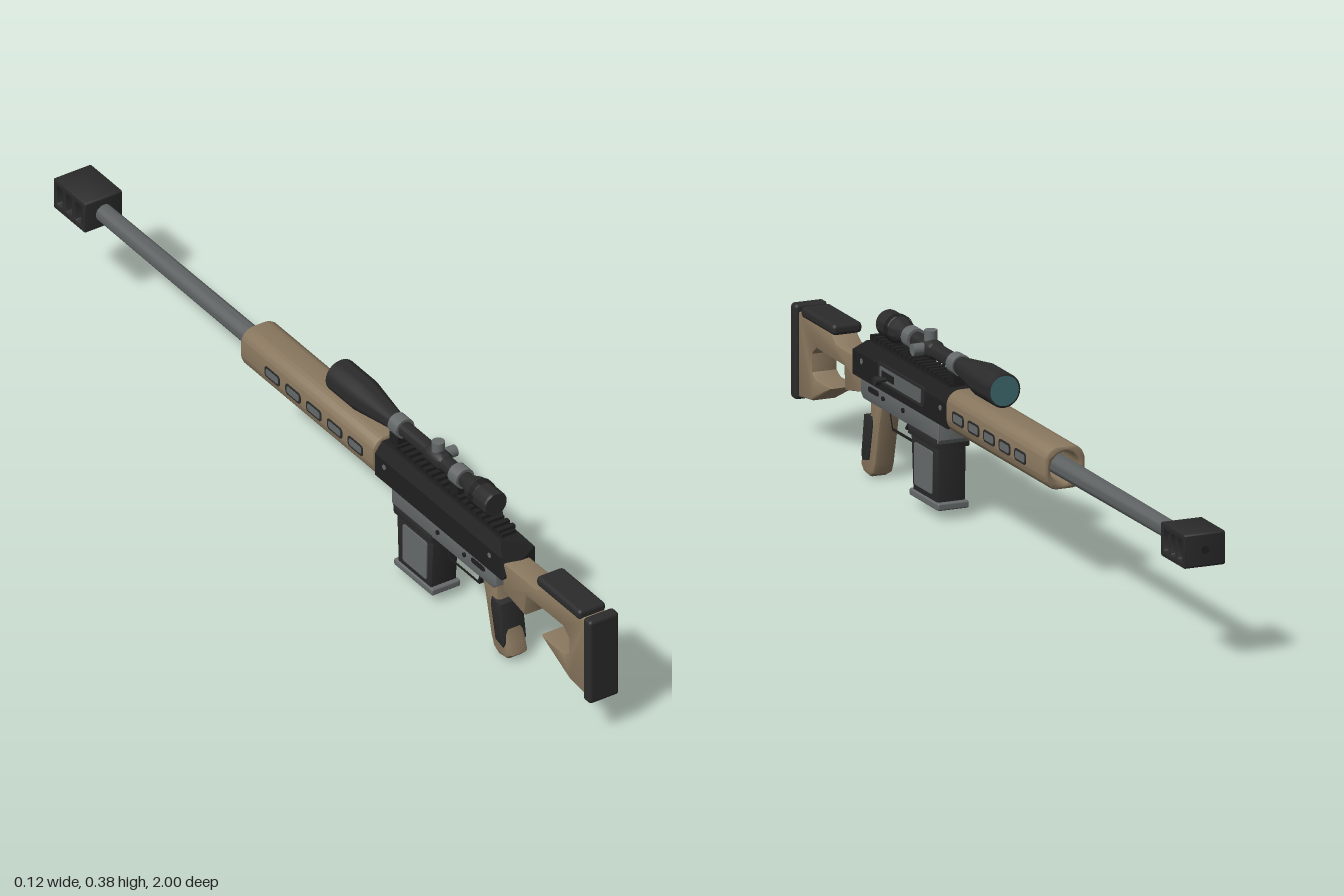
import * as THREE from 'three';
import { toCreasedNormals } from 'three/addons/utils/BufferGeometryUtils.js';
import { RoundedBoxGeometry } from 'three/addons/geometries/RoundedBoxGeometry.js';

const mat = (name, color) => {
  const m = new THREE.MeshStandardMaterial({ color });
  m.name = name;
  return m;
};

export function createModel() {
  const tan = mat('tan', 0x8a785f), black = mat('black', 0x1f1f20), rubber = mat('rubber', 0x2b2b2c);
  const grey = mat('grey', 0x666a6a), steel = mat('steel', 0x5e6262), lens = mat('lens', 0x3f6b70);

  const group = new THREE.Group();
  group.name = 'rifle';
  const model = new THREE.Group();
  model.name = 'body';
  model.position.x = -0.0125;
  group.add(model);

  const add = (name, geo, material, x = 0, y = 0, z = 0) => {
    const m = new THREE.Mesh(geo, material);
    m.name = name;
    m.position.set(x, y, z);
    model.add(m);
    return m;
  };
  const box = (name, material, w, h, d, x, y, z, r = 0) =>
    add(name, r ? new RoundedBoxGeometry(w, h, d, 2, r) : new THREE.BoxGeometry(w, h, d), material, x, y, z);
  const outline = (pts, Type = THREE.Shape) => new Type(pts.map(p => new THREE.Vector2(...p)));

  // Side profile in (z, y), extruded across x and centred at x
  const side = (name, material, shape, width, bevel = 0, x = 0) => {
    const geo = new THREE.ExtrudeGeometry(shape, {
      depth: width - 2 * bevel, curveSegments: 8, bevelEnabled: bevel > 0,
      bevelSize: bevel, bevelThickness: bevel, bevelOffset: -bevel, bevelSegments: 2,
    });
    geo.translate(0, 0, bevel - width / 2).rotateY(-Math.PI / 2);
    return add(name, toCreasedNormals(geo, 0.6), material, x);
  };
  // Turned part along z, profile [radius, z] with z rising
  const turned = (name, material, pts, y) => {
    const geo = new THREE.LatheGeometry(pts.map(p => new THREE.Vector2(...p)), 28).rotateX(Math.PI / 2);
    return add(name, toCreasedNormals(geo, 0.6), material, 0, y, 0);
  };
  // Rod along x
  const rodX = (name, material, r, len, x, y, z) =>
    add(name, new THREE.CylinderGeometry(r, r, len, 16).rotateZ(Math.PI / 2), material, x, y, z);
  const roundRect = (cx, cy, w, h, r, Type = THREE.Shape) => {
    const s = new Type(), x0 = cx - w / 2, x1 = cx + w / 2, y0 = cy - h / 2, y1 = cy + h / 2;
    s.moveTo(x0 + r, y0).lineTo(x1 - r, y0).absarc(x1 - r, y0 + r, r, -Math.PI / 2, 0);
    s.lineTo(x1, y1 - r).absarc(x1 - r, y1 - r, r, 0, Math.PI / 2);
    s.lineTo(x0 + r, y1).absarc(x0 + r, y1 - r, r, Math.PI / 2, Math.PI);
    s.lineTo(x0, y0 + r).absarc(x0 + r, y0 + r, r, Math.PI, Math.PI * 1.5);
    return s;
  };

  // Stock with open thumb area, cheek rest and butt pad
  side('stock', tan, outline([
    [0.975, 0.275], [0.82, 0.275], [0.785, 0.252], [0.66, 0.25], [0.66, 0.18], [0.742, 0.163],
    [0.748, 0.215], [0.885, 0.217], [0.908, 0.2], [0.908, 0.16], [0.89, 0.15], [0.805, 0.15],
    [0.91, 0.098], [0.975, 0.09],
  ]), 0.06, 0.005);
  box('cheekRest', rubber, 0.068, 0.024, 0.165, 0, 0.28, 0.873, 0.009);
  box('buttPad', rubber, 0.075, 0.207, 0.028, 0, 0.187, 0.986, 0.008);

  // Pistol grip and its side panels
  side('grip', tan, outline([
    [0.632, 0.185], [0.565, 0.185], [0.582, 0.13], [0.605, 0.035], [0.615, 0.012],
    [0.635, 0.002], [0.665, 0.006], [0.68, 0.02], [0.672, 0.045], [0.632, 0.14],
  ]), 0.048, 0.009);
  side('gripPanels', rubber, outline([
    [0.65, 0.135], [0.615, 0.138], [0.612, 0.12], [0.63, 0.04], [0.658, 0.033], [0.664, 0.045],
  ]), 0.056, 0.002);

  // Upper receiver: chamfered section along z, sloped at the rear
  const section = outline([
    [-0.042, 0.218], [0.042, 0.218], [0.042, 0.272], [0.024, 0.296], [-0.024, 0.296], [-0.042, 0.272]]);
  const upper = new THREE.ExtrudeGeometry(section, { depth: 0.475, bevelEnabled: false }).translate(0, 0, 0.2);
  const pos = upper.attributes.position;
  for (let i = 0; i < pos.count; i++)
    if (pos.getZ(i) > 0.6 && pos.getY(i) > 0.28) pos.setZ(i, 0.645);
  add('upperReceiver', toCreasedNormals(upper, 0.4), black);
  box('railBase', black, 0.036, 0.01, 0.4, 0, 0.299, 0.44);
  for (let i = 0; i < 19; i++) box('railTooth', black, 0.042, 0.009, 0.011, 0, 0.307, 0.25 + i * 0.021);

  // Ejection port, bolt and handle on one side
  side('portFrame', rubber, roundRect(0.43, 0.257, 0.23, 0.044, 0.006), 0.003, 0, 0.0425);
  side('boltBody', steel, roundRect(0.43, 0.257, 0.205, 0.03, 0.004), 0.004, 0, 0.0435);
  box('boltGap', black, 0.002, 0.016, 0.06, 0.046, 0.257, 0.49);
  rodX('boltHandle', rubber, 0.0045, 0.04, 0.045, 0.25, 0.5);
  rodX('boltKnob', rubber, 0.009, 0.014, 0.066, 0.25, 0.5);
  for (const z of [0.63, 0.235]) rodX('receiverPin', grey, 0.006, 0.087, 0, 0.256, z);

  // Lower receiver
  side('lowerReceiver', grey, outline([
    [0.648, 0.222], [0.648, 0.185], [0.635, 0.174], [0.41, 0.174], [0.405, 0.168],
    [0.262, 0.168], [0.255, 0.178], [0.255, 0.222],
  ]), 0.074, 0.003);
  side('selectorSlots', black, roundRect(0.58, 0.203, 0.05, 0.012, 0.006), 0.078);
  for (const z of [0.43, 0.53]) rodX('lowerPin', black, 0.005, 0.082, 0, 0.2, z);

  // Trigger and guard
  const guard = outline([[0.565, 0.178], [0.545, 0.124], [0.428, 0.124], [0.422, 0.178]]);
  guard.holes.push(outline([[0.556, 0.174], [0.54, 0.131], [0.434, 0.131], [0.429, 0.174]], THREE.Path));
  side('triggerGuard', black, guard, 0.022);
  const triggerPath = new THREE.CatmullRomCurve3([[0.18, 0.475], [0.16, 0.478], [0.14, 0.495]]
    .map(([y, z]) => new THREE.Vector3(0, y, z)));
  add('trigger', new THREE.TubeGeometry(triggerPath, 8, 0.004, 8), black);

  // Magazine
  side('magazine', rubber, outline([[0.406, 0.18], [0.395, 0.035], [0.272, 0.035], [0.266, 0.18]]), 0.064, 0.003);
  side('magazineLip', rubber, outline([[0.408, 0.178], [0.406, 0.157], [0.264, 0.157], [0.263, 0.178]]), 0.078, 0.003);
  side('magazinePanels', grey, roundRect(0.338, 0.098, 0.09, 0.092, 0.006), 0.07);
  box('magazineBase', grey, 0.072, 0.016, 0.145, 0, 0.031, 0.333, 0.004);

  // Handguard: hollow rounded tube with vent slots
  const guardShape = roundRect(0, 0.257, 0.094, 0.094, 0.033);
  guardShape.holes.push(new THREE.Path().absarc(0, 0.257, 0.034, 0, Math.PI * 2));
  const handguard = new THREE.ExtrudeGeometry(guardShape, {
    depth: 0.484, bevelSize: 0.006, bevelThickness: 0.008, bevelOffset: -0.006, bevelSegments: 2, curveSegments: 6,
  }).translate(0, 0, -0.292);
  add('handguard', toCreasedNormals(handguard, 0.6), tan);
  for (const x of [-0.0475, 0.0475]) for (let i = 0; i < 5; i++) {
    const z = 0.135 - i * 0.078;
    side('ventRim', rubber, roundRect(z, 0.256, 0.056, 0.026, 0.008), 0.002, 0, x);
    side('ventOpening', grey, roundRect(z, 0.256, 0.046, 0.017, 0.006), 0.003, 0, x);
  }

  // Barrel and muzzle brake with through ports
  turned('barrel', steel, [[0, -0.882], [0.02, -0.882], [0.022, -0.3], [0.022, 0.2], [0, 0.2]], 0.256);
  const brake = roundRect(-0.94, 0.257, 0.12, 0.074, 0.005);
  for (const z of [-0.907, -0.942, -0.977])
    brake.holes.push(roundRect(z, 0.257, 0.02, 0.044, 0.004, THREE.Path));
  side('muzzleBrake', rubber, brake, 0.094, 0.003);
  add('bore', new THREE.CircleGeometry(0.009, 20).rotateY(Math.PI), black, 0, 0.257, -1.0005);

  // Scope body, lens and eyepiece
  const axis = 0.346;
  turned('scopeBody', rubber, [
    [0, 0.006], [0.034, 0.006], [0.0375, 0.008], [0.0375, 0.1], [0.017, 0.235], [0.017, 0.49], [0.027, 0.515],
    [0.029, 0.53], [0.029, 0.588], [0.026, 0.592], [0, 0.592],
  ], axis);
  turned('eyepieceRing', black, [[0.029, 0.528], [0.031, 0.53], [0.031, 0.545], [0.029, 0.547]], axis);
  add('scopeLens', new THREE.CircleGeometry(0.033, 28).rotateY(Math.PI), lens, 0, axis, 0.005);

  // Scope rings and mounts
  for (const z of [0.235, 0.46]) {
    turned('scopeRing', grey, [[0.016, z - 0.016], [0.023, z - 0.016], [0.023, z + 0.016], [0.016, z + 0.016]], axis);
    box('scopeMount', black, 0.038, 0.026, 0.03, 0, 0.317, z);
  }

  // Adjustment turrets
  add('topTurret', new THREE.CylinderGeometry(0.014, 0.014, 0.03, 20), grey, 0, 0.37, 0.375);
  rodX('sideTurret', grey, 0.013, 0.032, 0.027, axis, 0.375);
  turned('turretHousing', rubber, [[0.017, 0.345], [0.021, 0.352], [0.021, 0.398], [0.017, 0.405]], axis);

  return group;
}
